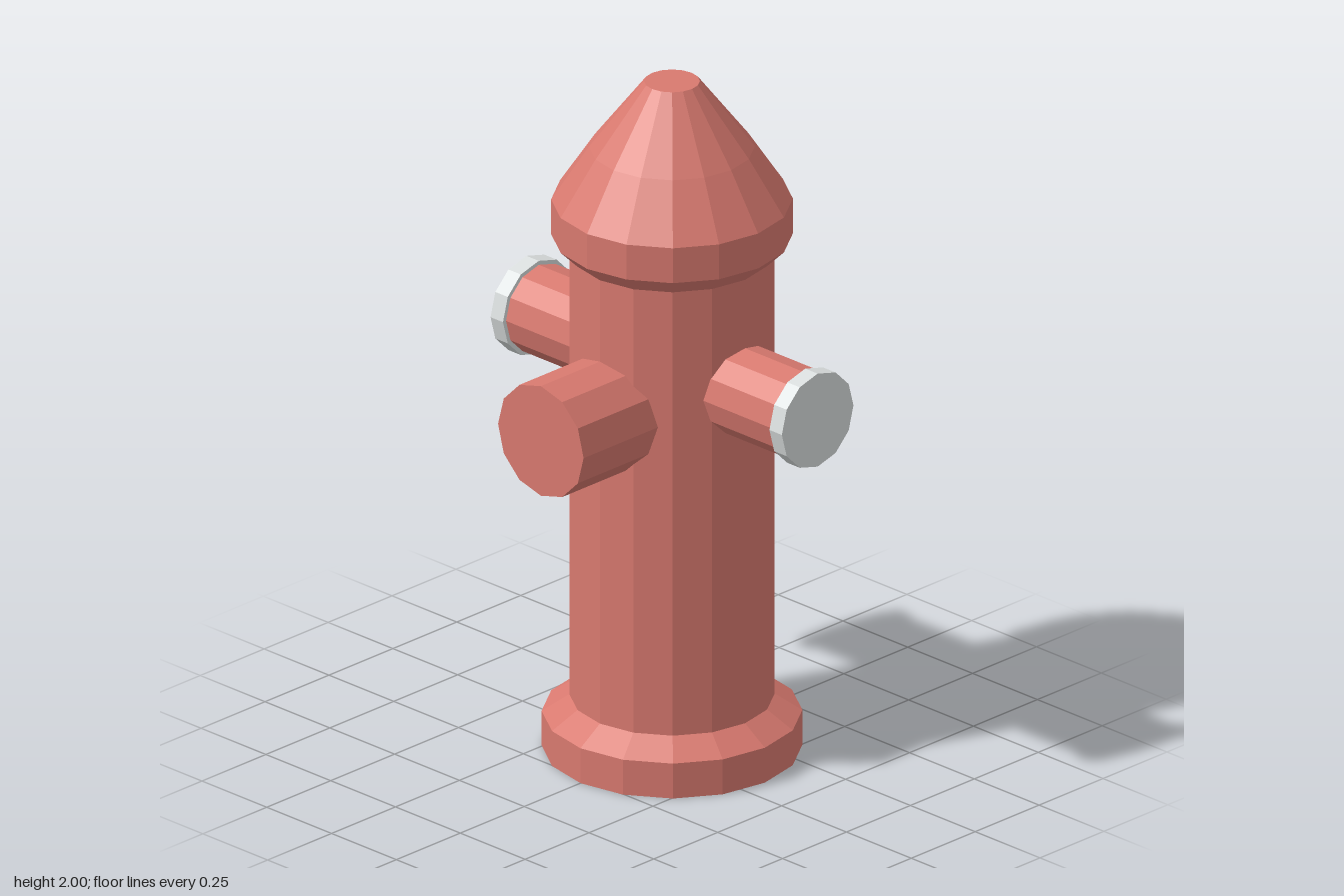
import * as THREE from 'three';

const AXIS_Z = -0.078; // the barrel stands behind the origin because of the front outlet

export function createModel() {
  const red = new THREE.MeshStandardMaterial({ color: 0xd8796f });
  red.name = 'hydrant red';
  const grey = new THREE.MeshStandardMaterial({ color: 0xd9dddd });
  grey.name = 'light grey';
  red.flatShading = grey.flatShading = true;

  const group = new THREE.Group();
  group.name = 'fireHydrant';

  // 16-sided turned part, profile given from bottom to top as [radius, y]
  const turned = (name, profile) => {
    const points = profile.map(([r, y]) => new THREE.Vector2(r, y));
    const mesh = new THREE.Mesh(new THREE.LatheGeometry(points, 16), red);
    mesh.name = name;
    mesh.position.z = AXIS_Z;
    group.add(mesh);
  };

  // 12-sided pipe section
  const pipe = (name, radius, length, material) => {
    const mesh = new THREE.Mesh(new THREE.CylinderGeometry(radius, radius, length, 12), material);
    mesh.name = name;
    group.add(mesh);
    return mesh;
  };

  // Foot flange, barrel and bonnet
  turned('base', [[0, 0], [0.358, 0], [0.358, 0.105], [0.282, 0.155]]);
  turned('barrel', [[0.282, 0.155], [0.282, 1.49]]);
  turned('bonnet', [[0.282, 1.49], [0.332, 1.54], [0.332, 1.645], [0.228, 1.803], [0.077, 2], [0, 2]]);

  // Large front outlet
  const front = pipe('frontOutlet', 0.165, 0.335, red);
  front.rotation.x = Math.PI / 2;
  front.position.set(0, 1.08, 0.2675);

  // Side outlets with grey caps
  for (const [side, s] of [['left', 1], ['right', -1]]) {
    const outlet = pipe(side + 'Outlet', 0.128, 0.315, red);
    outlet.rotation.z = -s * Math.PI / 2;
    outlet.position.set(s * 0.3575, 1.156, AXIS_Z);

    const cap = pipe(side + 'OutletCap', 0.14, 0.048, grey);
    cap.rotation.z = -s * Math.PI / 2;
    cap.position.set(s * 0.538, 1.156, AXIS_Z);
  }

  return group;
}
